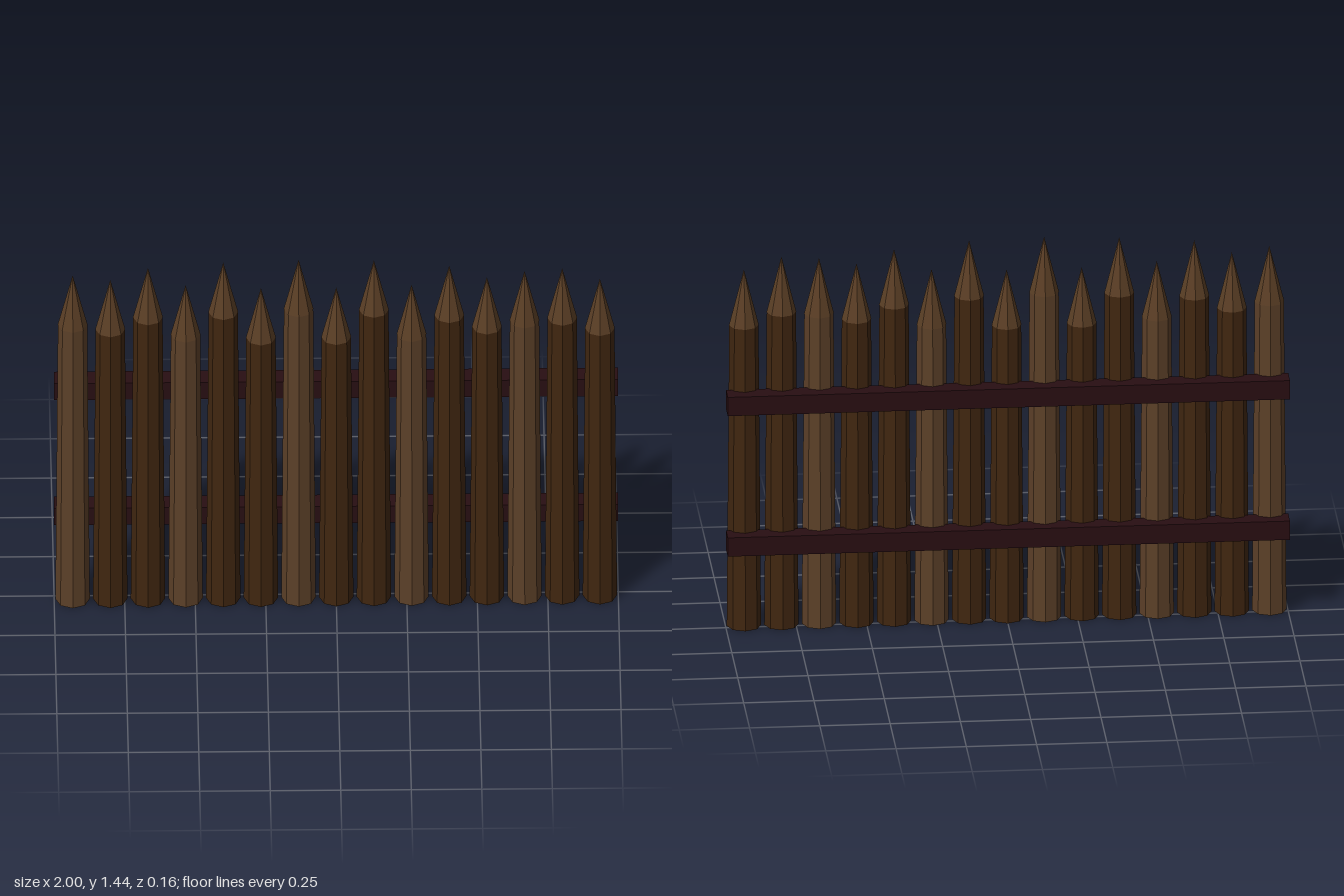
import * as THREE from 'three';

const mat = (name, color) => {
  const m = new THREE.MeshStandardMaterial({ color, flatShading: true });
  m.name = name;
  return m;
};

// Tip height of each stake, from right (-x) to left (+x)
const TIPS = [1.38, 1.36, 1.41, 1.335, 1.43, 1.32, 1.44, 1.32, 1.435, 1.33, 1.41, 1.36, 1.385, 1.395, 1.35];
const POINT = 0.21, SPACING = 0.1335, SIDES = 8, STAKE_Z = 0.019;

export function createModel() {
  const group = new THREE.Group();
  group.name = 'palisadeFence';

  const lightWood = mat('light wood', 0x5c4028);
  const darkWood = mat('dark wood', 0x402610);
  const cutWood = mat('cut wood', 0x5a3e25);
  const railWood = mat('rail wood', 0x280e12);

  // Sharpened stakes, every third one lighter
  TIPS.forEach((tip, i) => {
    const stake = new THREE.Group();
    stake.name = 'stake' + (i + 1);
    stake.position.set((i - (TIPS.length - 1) / 2) * SPACING, 0, STAKE_Z);

    const h = tip - POINT;
    const post = new THREE.Mesh(
      new THREE.CylinderGeometry(0.052, 0.061, h, SIDES), i % 3 === 0 ? lightWood : darkWood);
    post.name = 'post';
    post.position.y = h / 2;

    const point = new THREE.Mesh(new THREE.ConeGeometry(0.053, POINT, SIDES, 1, true), cutWood);
    point.name = 'point';
    point.position.y = h + POINT / 2;

    stake.add(post, point);
    group.add(stake);
  });

  // Two rails across the back
  [['lowerRail', 0.335], ['upperRail', 0.868]].forEach(([name, y]) => {
    const rail = new THREE.Mesh(new THREE.BoxGeometry(2, 0.071, 0.075), railWood);
    rail.name = name;
    rail.position.set(0, y, -0.0415);
    group.add(rail);
  });

  return group;
}
